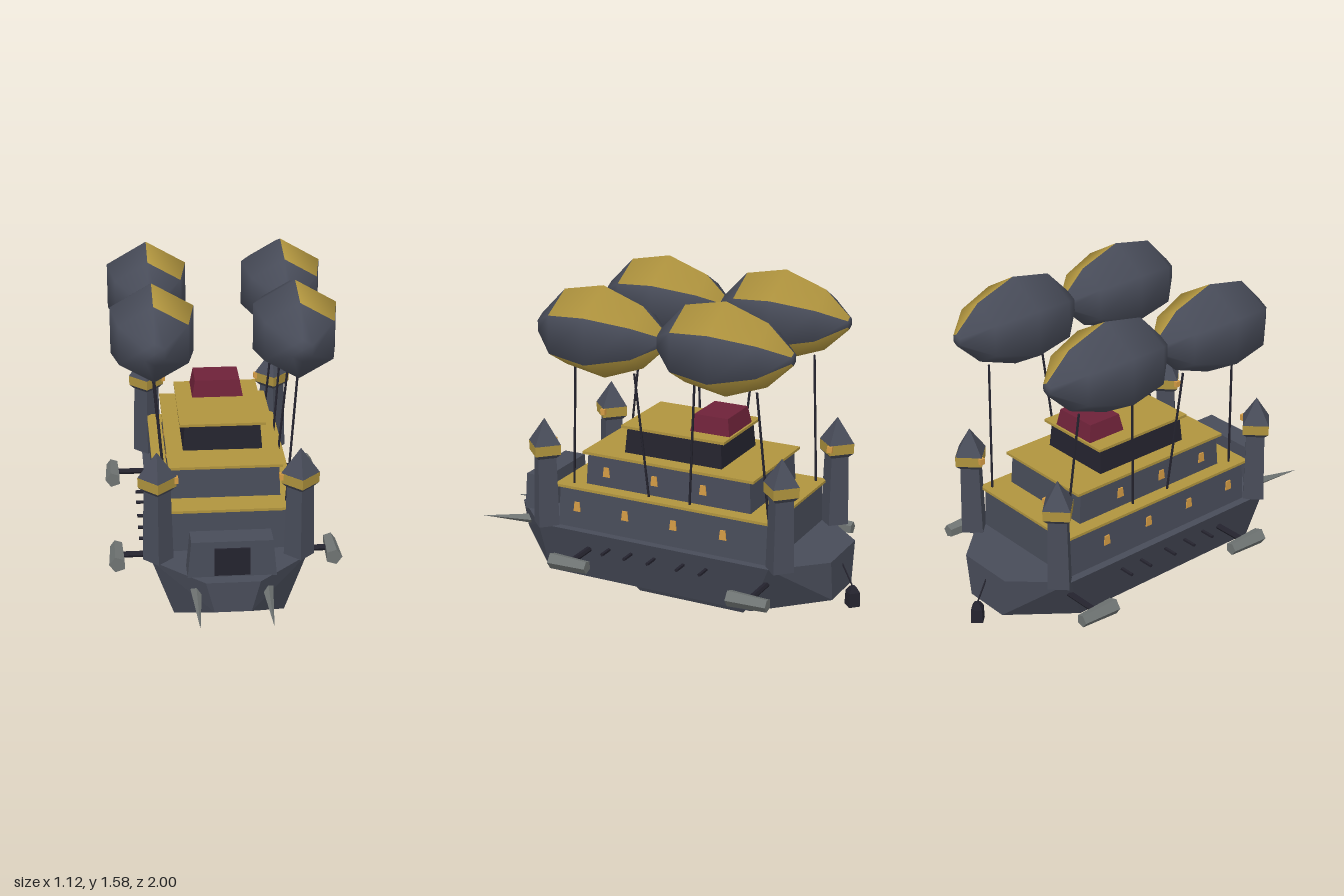
import * as THREE from 'three';
import { ConvexGeometry } from 'three/addons/geometries/ConvexGeometry.js';

const mat = (name, color, flatShading = true) => {
  const m = new THREE.MeshStandardMaterial({ color, flatShading });
  m.name = name;
  return m;
};

export function createModel() {
  const slate = mat('slate', 0x484c59);
  const gold = mat('gold', 0xb0943e);
  const dark = mat('charcoal', 0x24232e);
  const maroon = mat('maroon', 0x6e2239);
  const amber = mat('amber', 0xd59c45);
  const metal = mat('metal', 0x6f7473);
  // smooth variants of the same two colours for the balloons
  const balloonSlate = mat('balloon slate', 0x484c59, false);
  const balloonGold = mat('balloon gold', 0xb0943e, false);

  const root = new THREE.Group();
  root.name = 'airship';

  const add = (name, geo, material, x = 0, y = 0, z = 0, parent = root) => {
    const mesh = new THREE.Mesh(geo, material);
    mesh.name = name;
    mesh.position.set(x, y, z);
    parent.add(mesh);
    return mesh;
  };

  // Box with its base on y = 0, top scaled to w1 x d1
  const frustum = (w0, d0, w1, d1, h) => {
    const g = new THREE.BoxGeometry(1, h, 1).translate(0, h / 2, 0);
    const p = g.attributes.position;
    for (let i = 0; i < p.count; i++) {
      const top = p.getY(i) > h / 2;
      p.setX(i, p.getX(i) * (top ? w1 : w0));
      p.setZ(i, p.getZ(i) * (top ? d1 : d0));
    }
    g.computeVertexNormals();
    return g;
  };

  // Straight rod or cone between two points
  const rod = (name, a, b, r0, r1, sides, material) => {
    const from = new THREE.Vector3(...a), to = new THREE.Vector3(...b);
    const dir = to.clone().sub(from);
    const mesh = add(name, new THREE.CylinderGeometry(r1, r0, dir.length(), sides), material);
    mesh.position.copy(from).add(to).multiplyScalar(0.5);
    mesh.quaternion.setFromUnitVectors(new THREE.Vector3(0, 1, 0), dir.normalize());
    return mesh;
  };

  // Hull: convex shape from mirrored corners
  const corners = [
    [0.125, 0.347, 0.78], [0.085, 0.195, 0.78],
    [0.36, 0.347, 0.55], [0.26, 0.07, 0.55],
    [0.36, 0.347, -0.68], [0.26, 0.07, -0.55],
    [0.15, 0.347, -0.905], [0.12, 0.145, -0.905],
  ];
  const hullPoints = corners.flatMap(([x, y, z]) =>
    [new THREE.Vector3(x, y, z), new THREE.Vector3(-x, y, z)]);
  add('hull', new ConvexGeometry(hullPoints), slate);
  add('keel', frustum(0.31, 0.56, 0.38, 0.675, 0.07), slate, 0, 0, -0.182);

  // Stacked decks with gold floors
  add('lowerDeck', frustum(0.64, 1.12, 0.62, 1.11, 0.205), slate, 0, 0.345, -0.105);
  add('lowerDeckRoof', new THREE.BoxGeometry(0.66, 0.013, 1.15), gold, 0, 0.555, -0.105);
  add('middleDeck', frustum(0.52, 0.875, 0.51, 0.855, 0.16), slate, 0, 0.56, -0.105);
  add('middleDeckRoof', new THREE.BoxGeometry(0.54, 0.013, 0.905), gold, 0, 0.721, -0.105);
  add('upperDeck', frustum(0.38, 0.515, 0.36, 0.495, 0.13), dark, 0, 0.727, -0.1);
  add('upperDeckRoof', new THREE.BoxGeometry(0.41, 0.013, 0.545), gold, 0, 0.861, -0.102);
  add('cabin', frustum(0.25, 0.205, 0.22, 0.175, 0.083), maroon, 0, 0.867, -0.262);

  // Bow gatehouse
  add('gatehouse', frustum(0.41, 0.12, 0.375, 0.115, 0.178), slate, 0, 0.345, 0.66);
  add('gate', new THREE.BoxGeometry(0.165, 0.135, 0.009), dark, 0, 0.423, 0.723);

  for (const s of [-1, 1]) {
    // Windows along both decks
    for (const z of [0.355, 0.092, -0.167, -0.427])
      add('lowerWindow', frustum(0.018, 0.038, 0.018, 0.026, 0.048), amber, s * 0.311, 0.431, z);
    for (const z of [0.222, -0.037, -0.295])
      add('middleWindow', frustum(0.018, 0.038, 0.018, 0.026, 0.048), amber, s * 0.254, 0.612, z);

    // Corner towers
    for (const z of [0.52, -0.725]) {
      const tower = new THREE.Group();
      tower.name = 'tower';
      tower.position.set(s * 0.33, 0, z);
      root.add(tower);
      add('towerShaft', new THREE.CylinderGeometry(0.062, 0.072, 0.37, 4), slate, 0, 0.53, 0, tower);
      add('towerFlare', new THREE.CylinderGeometry(0.088, 0.064, 0.02, 4), slate, 0, 0.704, 0, tower);
      add('towerBand', new THREE.CylinderGeometry(0.09, 0.088, 0.05, 4), gold, 0, 0.739, 0, tower);
      add('towerRoof', new THREE.ConeGeometry(0.09, 0.125, 4), slate, 0, 0.826, 0, tower);
      add('towerWindow', new THREE.BoxGeometry(0.018, 0.03, 0.026), amber, -s * 0.088, 0.748, 0, tower);
    }

    // Side engines on struts
    for (const z of [0.287, -0.652]) {
      const engine = new THREE.CylinderGeometry(0.041, 0.032, 0.197, 5).rotateX(Math.PI / 2);
      engine.rotateZ(s * Math.PI / 2);
      add('engine', engine, metal, s * 0.517, 0.247, z);
      rod('engineStrut', [s * 0.3, 0.25, z], [s * 0.5, 0.25, z], 0.015, 0.015, 6, dark);
    }

    // Short guns in the hull side
    for (const z of [0.17, 0.05, -0.075, -0.23, -0.35])
      rod('gun', [s * 0.31, 0.273, z], [s * 0.408, 0.273, z], 0.009, 0.009, 5, dark);

    // Bow spikes
    rod('bowSpike', [s * 0.165, 0.277, 0.69], [s * 0.165, 0.237, 1.0], 0.027, 0, 4, metal);

    // Balloon ropes
    for (const [zTop, zBase] of [[0.342, 0.39], [0.028, -0.02], [-0.283, -0.235], [-0.595, -0.642]])
      rod('rope', [s * 0.28, 0.55, zBase], [s * 0.33, 1.18, zTop], 0.006, 0.006, 5, dark);
  }

  // Balloons: six-sided lathe, two gold stripes on the +x side
  const profile = [[0, -0.332], [0.03, -0.33], [0.148, -0.205], [0.222, 0],
    [0.182, 0.205], [0.052, 0.33], [0, 0.332]].map(([r, z]) => new THREE.Vector2(r, z));
  const balloon = new THREE.LatheGeometry(profile, 6).rotateX(Math.PI / 2);
  const rows = profile.length - 1;
  for (let side = 0; side < 6; side++) {
    for (let row = 0; row < rows; row++) {
      const striped = (side === 0 || side === 2) && row >= 1 && row <= 3;
      balloon.addGroup((side * rows + row) * 6, 6, striped ? 1 : 0);
    }
  }
  for (const x of [-0.33, 0.33])
    for (const z of [0.185, -0.44])
      add('balloon', balloon, [balloonSlate, balloonGold], x, 1.36, z);

  // Stern anchor
  rod('anchorRope', [0, 0.29, -0.9], [0, 0.175, -0.96], 0.004, 0.004, 5, dark);
  add('anchorWeight', new THREE.CylinderGeometry(0.037, 0.04, 0.07, 4), dark, 0, 0.117, -0.96);
  add('anchorCap', new THREE.CylinderGeometry(0.018, 0.037, 0.026, 4), dark, 0, 0.165, -0.96);

  return root;
}
